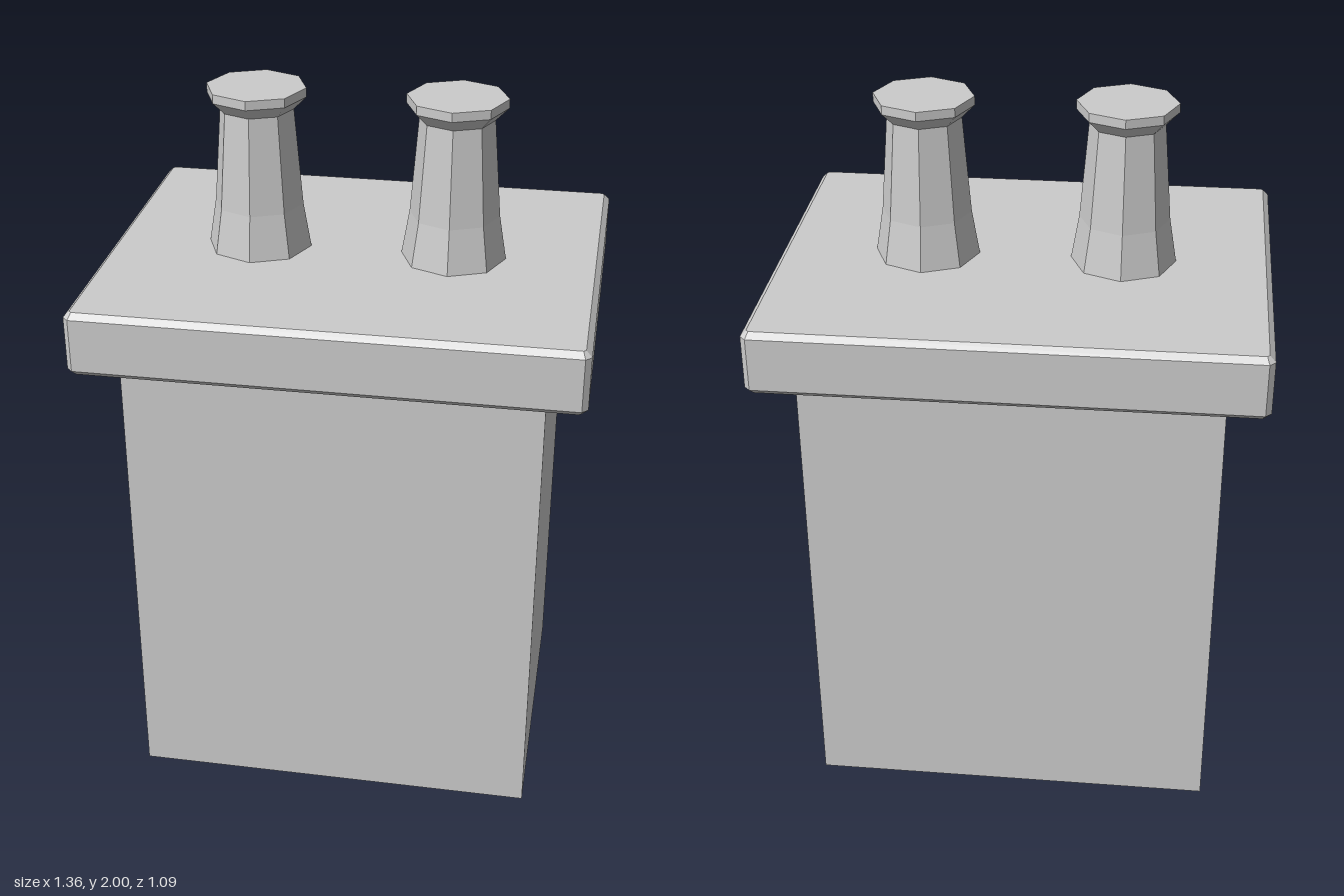
import * as THREE from 'three';

const material = new THREE.MeshStandardMaterial({ color: 0xcccccc, flatShading: true });

function part(name, geometry, x, y, z) {
  const mesh = new THREE.Mesh(geometry, material);
  mesh.name = name;
  mesh.position.set(x, y, z);
  return mesh;
}

// Flat slab, centred, with every edge and corner chamfered by c
function chamferedSlab(width, height, depth, c) {
  const w = width / 2, d = depth / 2;
  const outline = new THREE.Shape([
    [w, -d + c], [w, d - c], [w - c, d], [-w + c, d],
    [-w, d - c], [-w, -d + c], [-w + c, -d], [w - c, -d],
  ].map(([x, y]) => new THREE.Vector2(x, y)));
  const geometry = new THREE.ExtrudeGeometry(outline, {
    depth: height - 2 * c,
    bevelThickness: c,
    bevelSize: c,
    bevelOffset: -c,
    bevelSegments: 1,
  });
  geometry.translate(0, 0, c - height / 2);
  geometry.rotateX(-Math.PI / 2);
  return geometry;
}

export function createModel() {
  const model = new THREE.Group();
  model.name = 'chimney';

  // Stack
  model.add(part('stack', new THREE.BoxGeometry(1.14, 1.37, 0.86), 0, 0.685, 0));

  // Overhanging cap
  model.add(part('capSlab', chamferedSlab(1.36, 0.18, 1.085, 0.016), 0, 1.455, 0));

  // Two eight-sided pots with flared feet and rims, closed on top
  const profile = [
    [0, 0], [0.145, 0], [0.124, 0.125], [0.102, 0.395],
    [0.137, 0.43], [0.137, 0.455], [0, 0.455],
  ].map(([r, y]) => new THREE.Vector2(r, y));
  const pot = new THREE.LatheGeometry(profile, 8);
  for (const side of [-1, 1]) {
    model.add(part(side > 0 ? 'leftPot' : 'rightPot', pot, side * 0.272, 1.545, 0));
  }

  return model;
}
